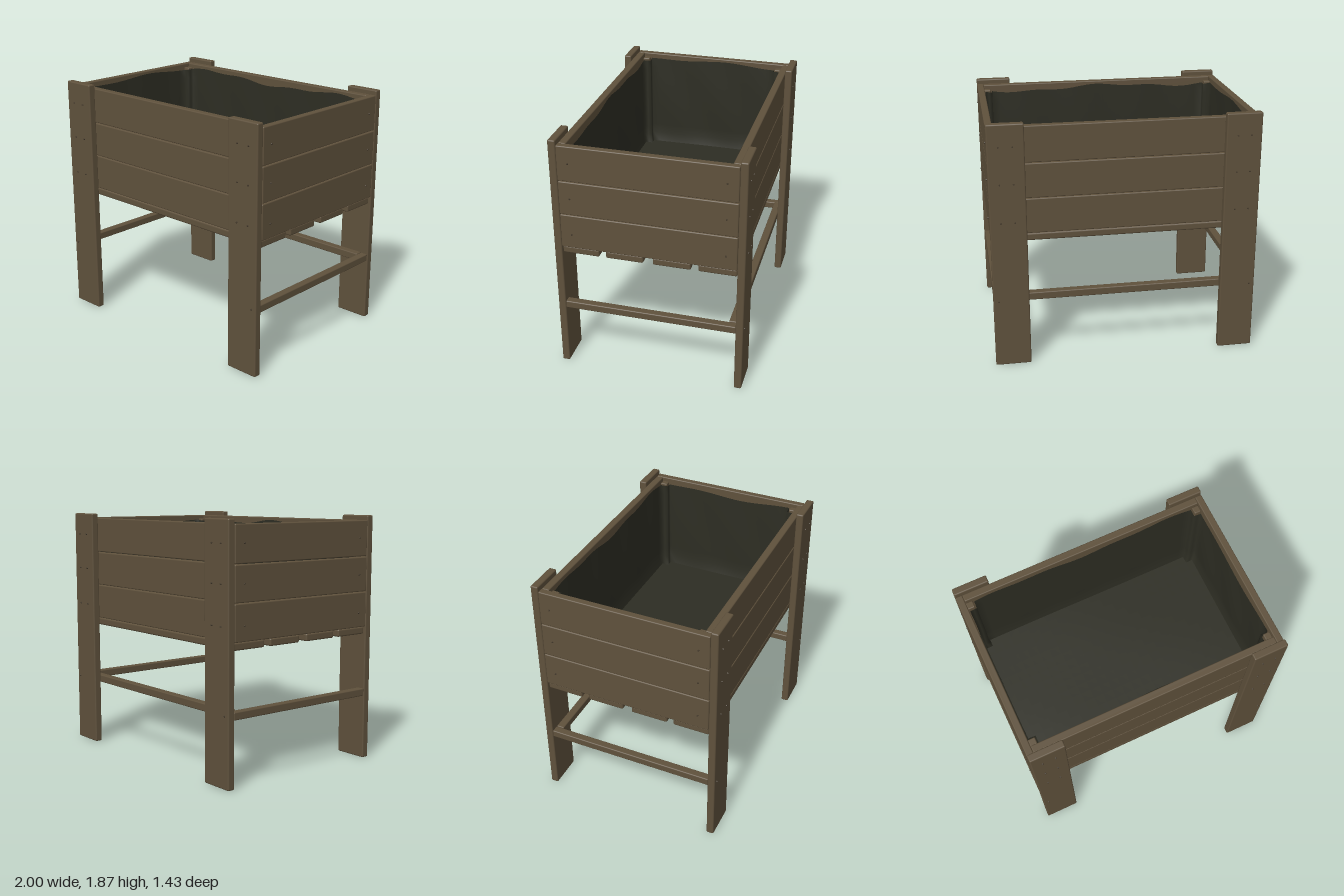
import * as THREE from 'three';
import { RoundedBoxGeometry } from 'three/addons/geometries/RoundedBoxGeometry.js';

export function createModel() {
  const model = new THREE.Group();
  model.name = 'raisedPlanter';
  const wood = new THREE.MeshStandardMaterial({ color: 0x5f513c });
  wood.name = 'stained wood';
  const fabric = new THREE.MeshStandardMaterial({ color: 0x2d2d23, side: THREE.DoubleSide });
  fabric.name = 'dark liner fabric';
  const metal = new THREE.MeshStandardMaterial({ color: 0x443a2c });
  metal.name = 'dark screw metal';

  // Softly rounded plank given by its min and max corners
  function plank(name, x0, x1, y0, y1, z0, z1, radius = 0.008) {
    const geo = new RoundedBoxGeometry(x1 - x0, y1 - y0, z1 - z0, 2, radius);
    const mesh = new THREE.Mesh(geo, wood);
    mesh.position.set((x0 + x1) / 2, (y0 + y1) / 2, (z0 + z1) / 2);
    mesh.name = name;
    model.add(mesh);
  }

  // Small screw head whose axis points along dir
  const screwGeo = new THREE.CylinderGeometry(0.005, 0.008, 0.014, 8);
  const up = new THREE.Vector3(0, 1, 0);
  function screw(x, y, z, dir) {
    const mesh = new THREE.Mesh(screwGeo, metal);
    mesh.quaternion.setFromUnitVectors(up, dir);
    mesh.position.set(x, y, z);
    mesh.name = 'screw';
    model.add(mesh);
  }

  const rows = [[1.03, 1.295], [1.3, 1.56], [1.566, 1.835]];
  const screwRows = [1.14, 1.43, 1.705];

  // Legs, corner posts and their screws
  for (const sx of [-1, 1]) {
    for (const sz of [-1, 1]) {
      const span = (s, a, b) => (s > 0 ? [a, b] : [-b, -a]);
      plank('leg', ...span(sx, 0.725, 0.99), 0, 1.87, ...span(sz, 0.648, 0.705), 0.01);
      plank('cornerPost', ...span(sx, 0.885, 0.938), 1.03, 1.805, ...span(sz, 0.535, 0.59));
      const outZ = new THREE.Vector3(0, 0, sz);
      const outX = new THREE.Vector3(sx, 0, 0);
      for (const y of screwRows) {
        for (const x of [0.81, 0.91]) screw(sx * x, y, sz * 0.706, outZ);
        screw(sx * 0.991, y, sz * 0.565, outX);
      }
      screw(sx * 0.95, 0.525, sz * 0.706, outZ);
    }
  }

  // Walls of three boards each
  for (const [y0, y1] of rows) {
    for (const s of [-1, 1]) {
      const z = s * 0.618, x = s * 0.964;
      plank('longBoard', -0.938, 0.938, y0, y1, z - 0.028, z + 0.028);
      plank('endBoard', x - 0.026, x + 0.026, y0, y1, -0.647, 0.647);
    }
  }

  // Floor slats
  for (const [z0, z1] of [[-0.645, -0.365], [-0.31, -0.03], [0.04, 0.32], [0.37, 0.645]]) {
    plank('floorSlat', -0.975, 0.975, 0.972, 1.028, z0, z1, 0.012);
    for (const x of [-0.9, 0.9])
      for (const z of [z0 + 0.06, z1 - 0.06]) screw(x, 0.971, z, new THREE.Vector3(0, -1, 0));
  }

  // Low rails at both ends and along the back
  for (const s of [-1, 1])
    plank('endRail', s * 0.955 - 0.03, s * 0.955 + 0.03, 0.49, 0.548, -0.65, 0.65);
  plank('backRail', -0.925, 0.925, 0.494, 0.553, -0.647, -0.587);

  // Liner plan: a rectangle stepping in around each corner post
  const notch = [[0.93, 0.525], [0.875, 0.525], [0.875, 0.582]];
  const corners = [];
  for (const [sx, sz, flip] of [[1, 1, 0], [-1, 1, 1], [-1, -1, 0], [1, -1, 1]]) {
    const pts = notch.map(([x, z]) => [x * sx, z * sz]);
    corners.push(...(flip ? pts.reverse() : pts));
  }
  const plan = [];
  corners.forEach(([x, z], i) => {
    const [nx, nz] = corners[(i + 1) % corners.length];
    const n = Math.max(2, Math.round(Math.hypot(nx - x, nz - z) / 0.06));
    for (let k = 0; k < n; k++) plan.push([x + (nx - x) * k / n, z + (nz - z) * k / n]);
  });

  // Liner walls: stacked loops with soft folds and an uneven top edge
  const pos = [], index = [];
  const levels = 10, count = plan.length;
  for (let j = 0; j <= levels; j++) {
    const t = j / levels;
    plan.forEach(([x, z], i) => {
      const wave = Math.sin(x * 5 + z * 3) + 0.5 * Math.sin(x * 13 - z * 9);
      const fold = 0.005 * (1 + Math.sin(i * 0.8 + t * 3)) * Math.sin(Math.PI * t);
      const inset = 1 - fold - (t < 0.05 ? 0.02 : 0);
      pos.push(x * inset, 1.035 + t * (0.755 + 0.016 * wave), z * inset);
    });
  }
  for (let j = 0; j < levels; j++) {
    for (let i = 0; i < count; i++) {
      const a = j * count + i, b = j * count + (i + 1) % count;
      index.push(a, a + count, b, b, a + count, b + count);
    }
  }
  const wallGeo = new THREE.BufferGeometry();
  wallGeo.setAttribute('position', new THREE.Float32BufferAttribute(pos, 3));
  wallGeo.setIndex(index);
  wallGeo.computeVertexNormals();
  const liner = new THREE.Mesh(wallGeo, fabric);
  liner.name = 'linerWalls';
  model.add(liner);

  // Liner floor
  const floorGeo = new THREE.PlaneGeometry(1.87, 1.18, 24, 16);
  floorGeo.rotateX(-Math.PI / 2);
  const p = floorGeo.attributes.position;
  for (let i = 0; i < p.count; i++)
    p.setY(i, 1.036 + 0.003 * Math.sin(p.getX(i) * 4) * Math.cos(p.getZ(i) * 5));
  floorGeo.computeVertexNormals();
  const floor = new THREE.Mesh(floorGeo, fabric);
  floor.name = 'linerFloor';
  model.add(floor);

  return model;
}
